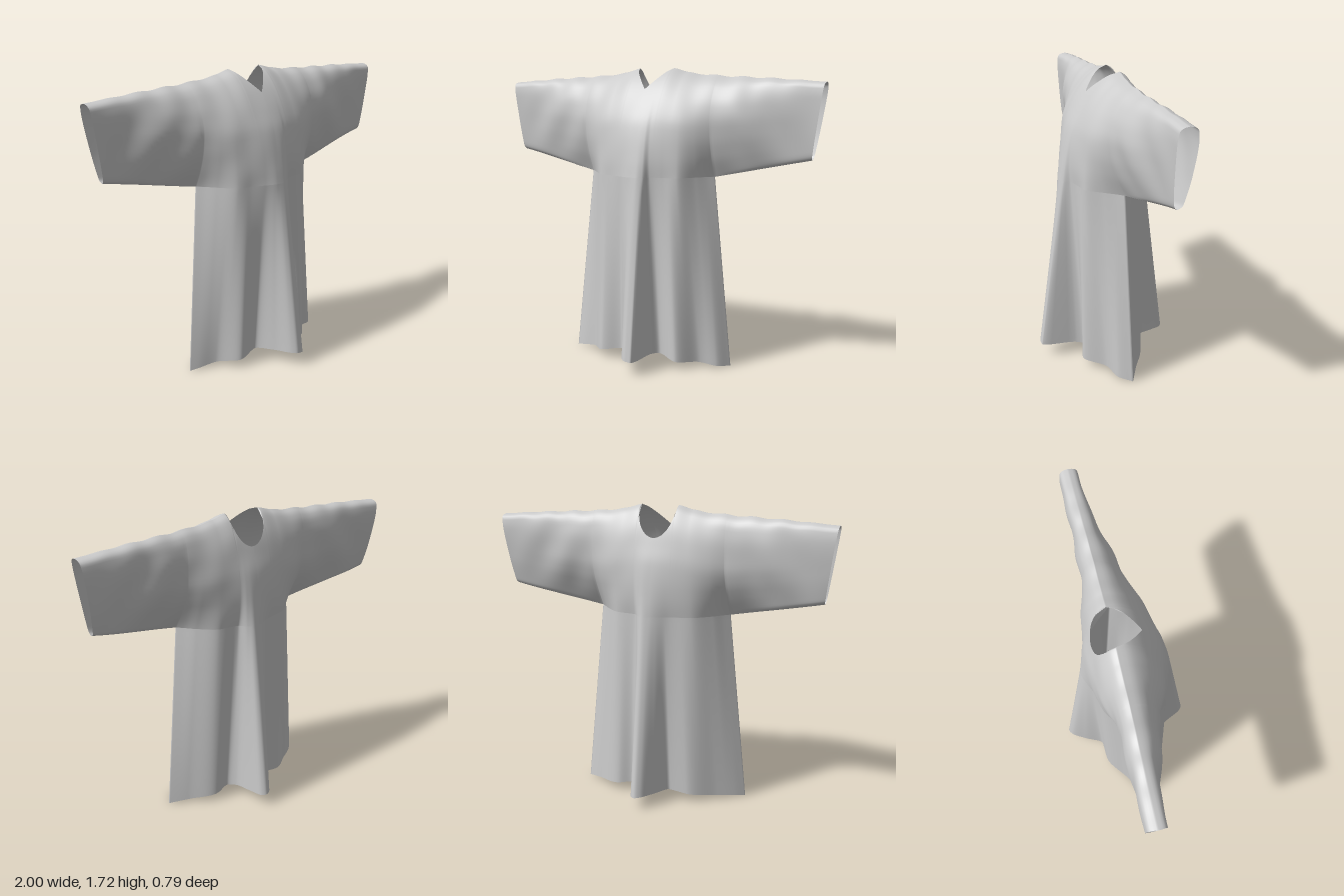
import * as THREE from 'three';
import { mergeGeometries, mergeVertices } from 'three/addons/utils/BufferGeometryUtils.js';

const lerp = THREE.MathUtils.lerp;

// Smooth curve through [x, y] points, without overshoot at peaks
function curve(pts) {
  const slope = (i) => (pts[i + 1][1] - pts[i][1]) / (pts[i + 1][0] - pts[i][0]);
  const last = pts.length - 1;
  const tangent = pts.map((p, i) => {
    if (i === 0) return slope(0);
    if (i === last) return slope(last - 1);
    const a = slope(i - 1), b = slope(i);
    return a * b <= 0 ? 0 : (2 * a * b) / (a + b);
  });
  return (x) => {
    let i = 0;
    while (i < last - 1 && x > pts[i + 1][0]) i++;
    const h = pts[i + 1][0] - pts[i][0];
    const t = (x - pts[i][0]) / h, t2 = t * t, t3 = t2 * t;
    return (2 * t3 - 3 * t2 + 1) * pts[i][1] + (t3 - 2 * t2 + t) * h * tangent[i]
      + (3 * t2 - 2 * t3) * pts[i + 1][1] + (t3 - t2) * h * tangent[i + 1];
  };
}

// Sheet of quads from a rule point(i/cols, j/rows)
function sheet(cols, rows, point, flip) {
  const pos = [], index = [];
  for (let j = 0; j <= rows; j++)
    for (let i = 0; i <= cols; i++) pos.push(...point(i / cols, j / rows));
  for (let j = 0; j < rows; j++)
    for (let i = 0; i < cols; i++) {
      const a = j * (cols + 1) + i, b = a + 1, c = a + cols + 1, d = c + 1;
      if (flip) index.push(a, b, c, b, d, c);
      else index.push(a, c, b, b, c, d);
    }
  const g = new THREE.BufferGeometry();
  g.setAttribute('position', new THREE.Float32BufferAttribute(pos, 3));
  g.setIndex(index);
  return g;
}

const ARM_X = 0.4, ARM_Y = 1.11, NECK = 0.11;

// Height of the shoulder line
const shoulder = curve([[0, 1.72], [0.11, 1.72], [0.2, 1.695], [0.4, 1.675], [0.7, 1.66], [1, 1.64]]);
const shoulderY = (x) => shoulder(x) + 0.004 * Math.sin(x * 38) * Math.sin(Math.PI * x) * (x > NECK ? 1 : 0);

// Depth of each panel from shoulder (0) to armpit (1): centre, armhole, cuff;
// then the drape across the chest line and the hem
const front = {
  sign: 1, rise: 0.088,
  centre: curve([[0, -0.08], [0.03, -0.025], [0.1, 0.03], [0.2, 0.083], [0.36, 0.145], [0.52, 0.19], [0.85, 0.235], [1, 0.25]]),
  armhole: curve([[0, -0.08], [0.04, -0.03], [0.12, 0.015], [0.3, 0.065], [0.45, 0.08], [0.6, 0.072], [0.78, 0.045], [1, -0.01]]),
  cuff: curve([[0, -0.09], [0.015, -0.06], [0.06, -0.042], [0.2, -0.036], [0.6, -0.04], [0.9, -0.048], [0.97, -0.055], [1, -0.07]]),
  chest: curve([[-1, 0], [-0.92, 0.13], [-0.8, 0.36], [-0.6, 0.69], [-0.4, 0.79], [-0.22, 0.9], [-0.05, 0.99], [0.06, 1],
    [0.16, 0.95], [0.22, 0.82], [0.4, 0.75], [0.6, 0.69], [0.8, 0.36], [0.92, 0.13], [1, 0]]),
  hem: curve([[-0.5, 0.03], [-0.45, 0.05], [-0.35, 0.085], [-0.23, 0.19], [-0.12, 0.165], [-0.05, 0.27], [0, 0.37], [0.03, 0.392],
    [0.065, 0.39], [0.082, 0.33], [0.09, 0.2], [0.13, 0.14], [0.24, 0.185], [0.35, 0.07], [0.44, 0.04], [0.5, -0.035]]),
};
const back = {
  sign: -1, rise: 0.075,
  centre: curve([[0, -0.08], [0.03, -0.11], [0.1, -0.14], [0.2, -0.17], [0.36, -0.2], [0.52, -0.225], [0.85, -0.25], [1, -0.26]]),
  armhole: curve([[0, -0.08], [0.04, -0.112], [0.12, -0.135], [0.3, -0.15], [0.5, -0.145], [0.65, -0.122], [0.8, -0.08], [1, -0.01]]),
  cuff: curve([[0, -0.09], [0.015, -0.12], [0.06, -0.138], [0.2, -0.145], [0.6, -0.13], [0.9, -0.105], [0.97, -0.095], [1, -0.07]]),
  chest: curve([[-1, 0], [-0.92, 0.14], [-0.8, 0.36], [-0.55, 0.68], [-0.25, 0.8], [0, 0.97], [0.1, 1], [0.19, 0.92], [0.27, 0.76],
    [0.55, 0.68], [0.8, 0.36], [0.92, 0.14], [1, 0]]),
  hem: curve([[-0.5, 0.03], [-0.45, -0.015], [-0.36, -0.08], [-0.2, -0.185], [-0.1, -0.19], [-0.04, -0.3], [0.01, -0.38], [0.04, -0.395],
    [0.07, -0.375], [0.09, -0.3], [0.115, -0.2], [0.16, -0.155], [0.24, -0.175], [0.4, -0.09], [0.5, -0.035]]),
};

// Yoke depth at u (-1..1 across) and t (0 shoulder .. 1 armpit)
function yokeDepth(p, u, t) {
  const side = p.armhole(t);
  return side + (p.centre(t) - side) * lerp(1 - u * u, p.chest(u), t * t);
}

// Upper torso, with the neck cut as a V in front and a scoop behind
function yoke(p) {
  return sheet(160, 32, (i, j) => {
    const u = i * 2 - 1, x = u * ARM_X, top = shoulderY(Math.abs(x));
    const n = Math.min(1, Math.abs(x) / NECK);
    const cut = n > 0.9999 ? 0 : p.sign > 0 ? 0.12 * (1 - n) : 0.175 * Math.sqrt(1 - n * n);
    const t0 = cut / (top - ARM_Y);
    const t = lerp(t0, 1, (1 - Math.cos(Math.PI * j)) / 2);
    const fold = 0.008 * Math.sin(16 * (Math.abs(x) * 1.2 - t * 0.5)) * Math.sin(Math.PI * t) * (1 - u * u) * Math.abs(u);
    return [x, lerp(top, ARM_Y, t), yokeDepth(p, u, t) + p.sign * fold];
  }, p.sign < 0);
}

// Flared skirt, its folds deepening towards the hem
function skirt(p) {
  return sheet(160, 36, (i, j) => {
    const u = i * 2 - 1;
    const bottom = p.rise * (1 - Math.pow(Math.abs(u), 1.2));
    return [u * lerp(ARM_X, 0.503, j), lerp(ARM_Y, bottom, j), lerp(yokeDepth(p, u, 1), p.hem(u * 0.5), j)];
  }, p.sign < 0);
}

// Wide sleeve panel with slanted wrinkles; mirror is 1 or -1
function sleeve(p, mirror) {
  return sheet(44, 32, (s, j) => {
    const t = (1 - Math.cos(Math.PI * j)) / 2;
    const x = ARM_X + s * (0.6 - 0.06 * t);
    const y = lerp(shoulderY(ARM_X + s * 0.6), lerp(ARM_Y, 1.22, s), t);
    const fade = Math.sin(Math.PI * t) * Math.sin(Math.PI * Math.pow(s, 0.7));
    const fold = 0.008 * fade * Math.sin(16 * (s * 0.75 - t * 0.4) + mirror);
    const taper = s + 1.5 * s * (1 - s) * (s - 0.25);
    return [mirror * x, y, lerp(p.armhole(t), p.cuff(t), taper) + p.sign * fold];
  }, p.sign * mirror < 0);
}

export function createModel() {
  const group = new THREE.Group();
  group.name = 'tunic';
  const panels = [];
  for (const p of [front, back]) panels.push(yoke(p), skirt(p), sleeve(p, 1), sleeve(p, -1));

  // Sew the panels into one smooth cloth, open at neck, cuffs and hem
  const cloth = mergeVertices(mergeGeometries(panels), 1e-4);
  cloth.computeVertexNormals();
  const mesh = new THREE.Mesh(cloth, new THREE.MeshStandardMaterial({ color: 0xcccccc, side: THREE.DoubleSide }));
  mesh.name = 'tunicCloth';
  group.add(mesh);
  return group;
}
